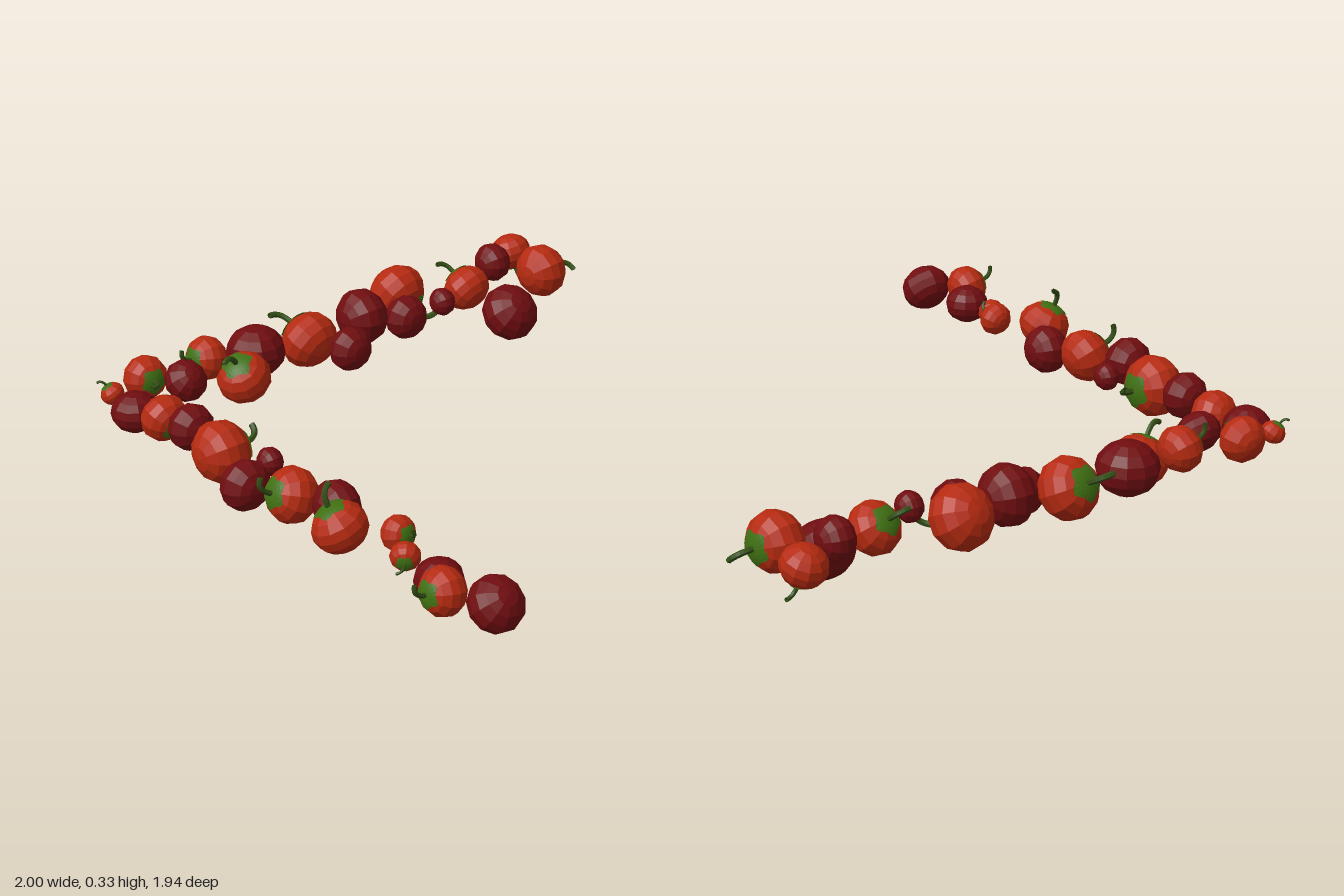
import * as THREE from 'three';

const mat = (name, color, side = THREE.FrontSide) => {
  const m = new THREE.MeshStandardMaterial({ color, side, flatShading: true });
  m.name = name;
  return m;
};

// plain fruits as x, y, z, radius, grouped by the direction of their short axis
const LYING_SIDEWAYS = [
  [-0.74, 0.18, -0.2, 0.045], [-0.76, 0.17, 0.14, 0.08], [0.135, 0.19, -0.82, 0.095],
  [0.415, 0.19, -0.73, 0.048], [0.74, 0.21, -0.835, 0.067],
];
const LYING_FORWARD = [
  [-0.8, 0.2, -0.515, 0.075], [-0.89, 0.18, -0.127, 0.08],
  [0.01, 0.14, -0.73, 0.075], [0.27, 0.17, -0.75, 0.075],
];
const UPRIGHT = [[-0.83, 0.17, -0.77, 0.076], [-0.825, 0.17, 0.67, 0.073], [-0.29, 0.185, -0.85, 0.098]];
const TILTED = [[-0.62, 0.205, -0.785, 0.07], [-0.805, 0.175, 0.885, 0.085], [0.667, 0.097, -0.665, 0.099]];

// stemmed fruits: x, y, z, radius, then tilt and yaw of the stem and turn of its hook, in degrees
const STEMMED = [
  [-0.83, 0.19, -0.89, 0.039, 32, -127, -90],
  [-0.695, 0.2, -0.9, 0.073, 84, -6, 180],
  [-0.8, 0.18, -0.655, 0.077, 107, 0, -90],
  [-0.81, 0.18, -0.35, 0.1, 90, 90, 35],
  [-0.82, 0.175, 0.007, 0.088, 69, -96, 90],
  [-0.865, 0.195, 0.285, 0.086, 25, -126, 135],
  [-0.765, 0.195, 0.425, 0.055, 79, 3, 120],
  [-0.82, 0.18, 0.52, 0.046, 103, -45, 200],
  [-0.89, 0.195, 0.76, 0.074, 80, -90, 90],
  [-0.475, 0.21, -0.87, 0.073, 79, -87, 90],
  [-0.405, 0.155, -0.765, 0.09, 32, -72, -90],
  [-0.08, 0.165, -0.835, 0.098, 62, -170, 0],
  [0.345, 0.195, -0.885, 0.1, 120, 7, 45],
  [0.57, 0.18, -0.78, 0.082, 52, -169, 0],
  [0.855, 0.185, -0.71, 0.092, 90, 96, -140],
  [0.885, 0.19, -0.9, 0.071, 161, 18, 0],
];

const SQUASH = 0.86;

// five-lobed leafy cap hugging the top of the unit fruit
function calyxGeometry() {
  const geo = new THREE.SphereGeometry(1, 20, 4, 0, Math.PI * 2, 0, 0.55);
  const p = geo.attributes.position;
  const v = new THREE.Vector3();
  const s = new THREE.Spherical();
  for (let i = 0; i < p.count; i++) {
    s.setFromVector3(v.fromBufferAttribute(p, i));
    s.phi *= 1 + 0.15 * Math.cos(5 * s.theta);
    s.radius = 1.04;
    v.setFromSpherical(s);
    p.setXYZ(i, v.x, v.y, v.z);
  }
  geo.scale(1, SQUASH, 1);
  geo.computeVertexNormals();
  return geo;
}

// stem rising along the unit fruit's axis and hooking over
function stemGeometry() {
  const curve = new THREE.QuadraticBezierCurve3(
    new THREE.Vector3(0, 0.83, 0), new THREE.Vector3(0, 1.5, 0), new THREE.Vector3(0.5, 1.48, 0));
  return new THREE.TubeGeometry(curve, 8, 0.1, 6);
}

export function createModel() {
  const root = new THREE.Group();
  root.name = 'fruitTrail';
  const brightRed = mat('bright red', 0xb52a10);
  const darkRed = mat('dark red', 0x700d10);
  const leafGreen = mat('leaf green', 0x3f6f12, THREE.DoubleSide);
  const stemGreen = mat('stem green', 0x344f16, THREE.DoubleSide);
  const bodyGeo = new THREE.SphereGeometry(1.01, 11, 8).scale(1, SQUASH, 1);
  const calyxGeo = calyxGeometry();
  const stemGeo = stemGeometry();

  const part = (parent, name, geo, material) => {
    const mesh = new THREE.Mesh(geo, material);
    mesh.name = name;
    parent.add(mesh);
    return mesh;
  };

  // unit fruit sized, tilted and turned into place
  const addFruit = (name, material, [x, y, z, r], tilt, yaw) => {
    const fruit = new THREE.Group();
    fruit.name = name;
    fruit.position.set(x, y, z);
    fruit.scale.setScalar(r);
    fruit.rotation.set(THREE.MathUtils.degToRad(tilt), THREE.MathUtils.degToRad(yaw), 0, 'YXZ');
    part(fruit, 'fruitBody', bodyGeo, material);
    root.add(fruit);
    return fruit;
  };

  LYING_SIDEWAYS.forEach((f) => addFruit('plainFruit', darkRed, f, 90, 90));
  LYING_FORWARD.forEach((f) => addFruit('plainFruit', darkRed, f, 90, 0));
  UPRIGHT.forEach((f) => addFruit('plainFruit', darkRed, f, 0, 0));
  TILTED.forEach((f) => addFruit('plainFruit', darkRed, f, 45, 0));

  STEMMED.forEach((f) => {
    const fruit = addFruit('stemmedFruit', brightRed, f, f[4], f[5]);
    part(fruit, 'calyx', calyxGeo, leafGreen);
    part(fruit, 'stem', stemGeo, stemGreen).rotation.y = THREE.MathUtils.degToRad(f[6]);
  });
  return root;
}
